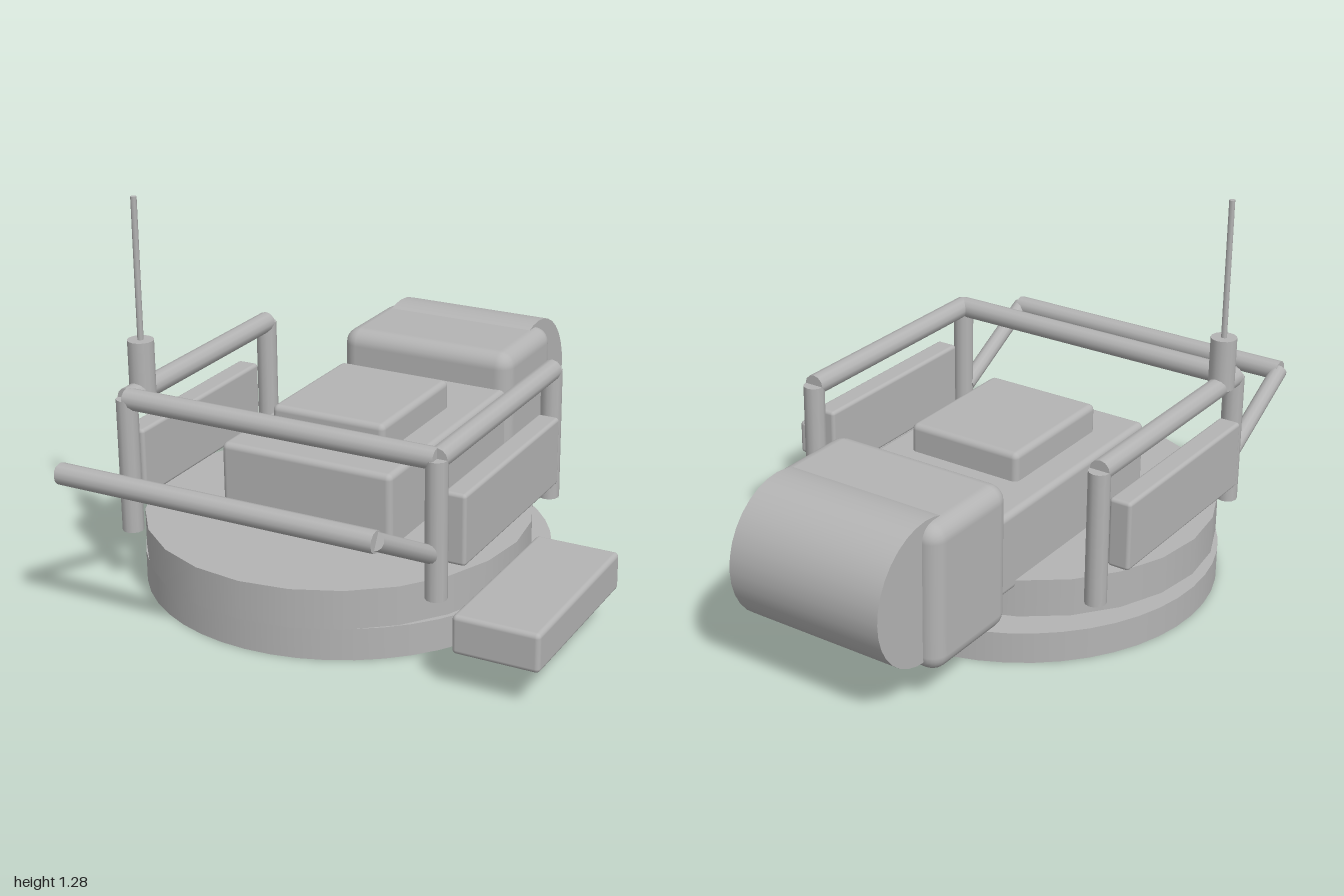
import * as THREE from 'three';
import { RoundedBoxGeometry } from 'three/addons/geometries/RoundedBoxGeometry.js';

export function createModel() {
  const model = new THREE.Group();
  model.name = 'turret';
  const grey = new THREE.MeshStandardMaterial({ color: 0xb4b4b4 });
  grey.name = 'plain grey';
  const CX = -0.145; // centre line of the turret

  const add = (name, geometry, x, y, z) => {
    const mesh = new THREE.Mesh(geometry, grey);
    mesh.name = name;
    mesh.position.set(x, y, z);
    model.add(mesh);
    return mesh;
  };

  // Rounded box given by its extents on each axis
  const box = (name, [x0, x1], [y0, y1], [z0, z1], r) =>
    add(name, new RoundedBoxGeometry(x1 - x0, y1 - y0, z1 - z0, 3, r),
      (x0 + x1) / 2, (y0 + y1) / 2, (z0 + z1) / 2);

  // Round bar between two points
  const bar = (name, a, b, r, sides = 12) => {
    const from = new THREE.Vector3(...a);
    const to = new THREE.Vector3(...b);
    const dir = to.clone().sub(from);
    const mid = from.clone().add(to).multiplyScalar(0.5);
    const mesh = add(name, new THREE.CylinderGeometry(r, r, dir.length(), sides), mid.x, mid.y, mid.z);
    mesh.quaternion.setFromUnitVectors(new THREE.Vector3(0, 1, 0), dir.normalize());
    return mesh;
  };

  // Stacked turntable discs
  bar('baseRing', [CX, 0, 0.143], [CX, 0.105, 0.143], 0.667, 48);
  bar('turntable', [CX, 0.112, 0.205], [CX, 0.24, 0.205], 0.63, 24);

  // Central body, hatch and rear housing
  box('body', [-0.452, 0.158], [0.21, 0.482], [-0.5, 0.428], 0.02);
  box('hatch', [-0.35, 0.056], [0.44, 0.577], [-0.19, 0.28], 0.02);
  box('rearHousing', [-0.47, 0.177], [0.12, 0.607], [-0.785, -0.403], 0.055);
  bar('rearDrum', [-0.419, 0.388, -0.768], [0.127, 0.388, -0.768], 0.232, 32);

  // Detached side box
  box('sideBox', [0.53, 0.807], [0.128, 0.253], [0.152, 0.77], 0.015);

  // Mirrored side panels, posts, rails and bumper arms
  for (const s of [-1, 1]) {
    const side = s > 0 ? 'left' : 'right';
    const postX = CX + s * 0.542;
    const armX = CX + s * 0.532;
    const panel = [CX + s * 0.53, CX + s * 0.607].sort((a, b) => a - b);
    box(side + 'Panel', panel, [0.287, 0.52], [-0.176, 0.534], 0.012);
    for (const [end, z] of [['Front', 0.595], ['Rear', -0.256]])
      bar(side + end + 'Post', [postX, 0.2, z], [postX, 0.648, z], 0.035);
    bar(side + 'Rail', [postX, 0.647, -0.256], [postX, 0.647, 0.595], 0.035);
    bar(side + 'BumperArm', [armX, 0.343, 0.605], [armX, 0.535, 0.96], 0.028);
  }
  bar('frontRail', [CX - 0.542, 0.647, 0.592], [CX + 0.542, 0.647, 0.592], 0.035);
  bar('bumperBar', [CX - 0.535, 0.533, 0.96], [CX + 0.535, 0.533, 0.96], 0.034);

  // Aerial on the front right corner
  bar('aerialBase', [-0.687, 0.64, 0.505], [-0.687, 0.816, 0.505], 0.043, 16);
  bar('aerial', [-0.687, 0.8, 0.505], [-0.687, 1.28, 0.505], 0.01, 8);

  return model;
}
